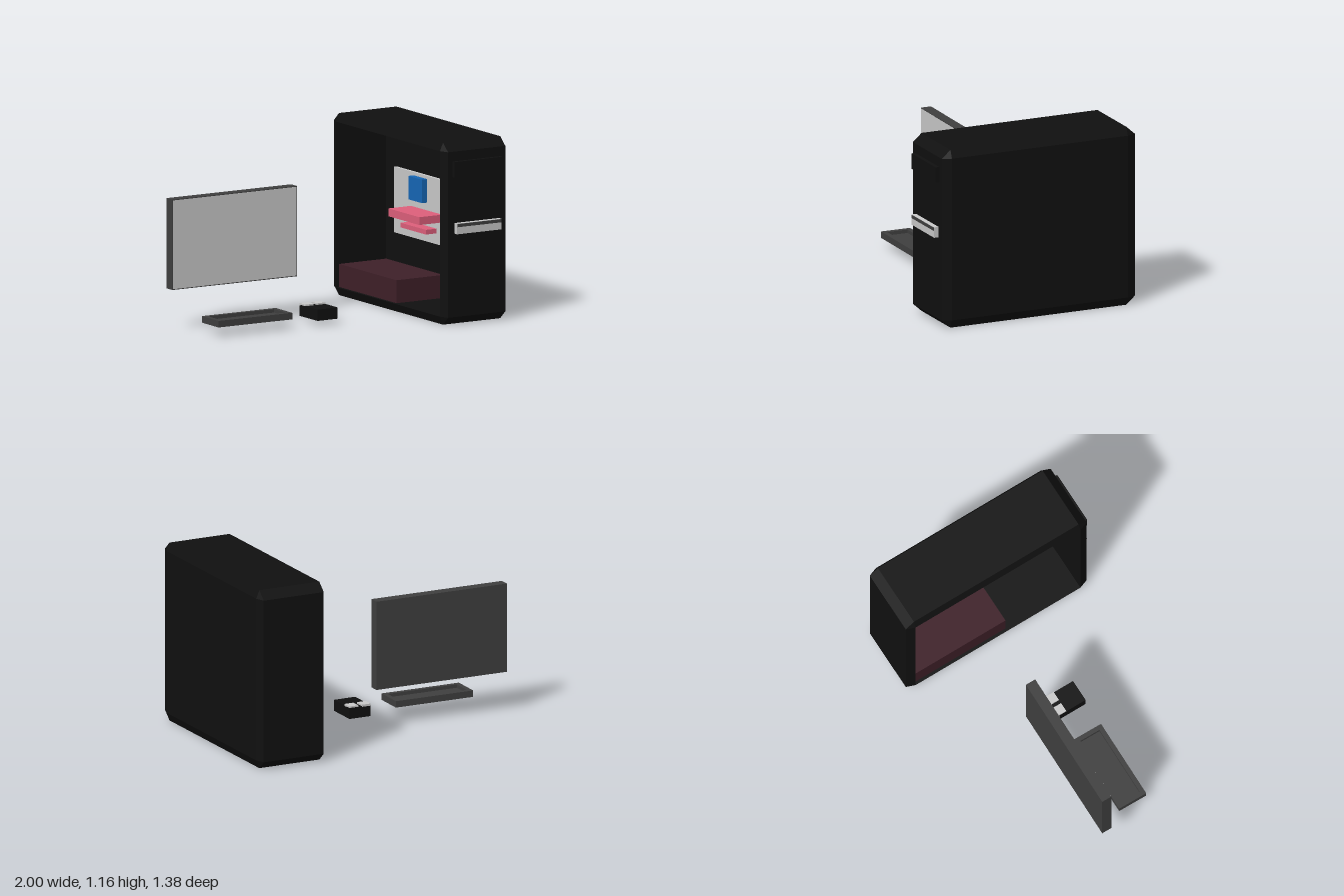
import * as THREE from 'three';

const mat = (color) => new THREE.MeshStandardMaterial({ color, flatShading: true });
const black = mat(0x101010), charcoal = mat(0x404040), grey = mat(0xcccccc);
const pink = mat(0xe0607c), maroon = mat(0x3f2029), blue = mat(0x1668b8);

// Box given by its min and max on each axis
function box(name, material, [x0, x1], [y0, y1], [z0, z1]) {
  const mesh = new THREE.Mesh(new THREE.BoxGeometry(x1 - x0, y1 - y0, z1 - z0), material);
  mesh.position.set((x0 + x1) / 2, (y0 + y1) / 2, (z0 + z1) / 2);
  mesh.name = name;
  return mesh;
}

function group(name, ...parts) {
  const g = new THREE.Group();
  g.name = name;
  if (parts.length) g.add(...parts);
  return g;
}

// Turn parts slightly about their own upright centre line
function turned(g, cx, cz, angle) {
  for (const m of g.children) { m.position.x -= cx; m.position.z -= cz; }
  g.position.set(cx, 0, cz);
  g.rotation.y = angle;
  return g;
}

// Chamfered tower casing, open on its -x side with a deep cavity
function casingGeometry() {
  const [y0, y1, z0, z1] = [0, 1.165, -0.69, 0.655], cy = 0.053, cz = 0.06;
  const [a, b, c, d] = [y0 + cy, y1 - cy, z0 + cz, z1 - cz];
  // Points as [y, z]; the small ring repeats each corner to match the octagon
  const octagon = [[y1, c], [y1, d], [b, z1], [a, z1], [y0, d], [y0, c], [a, z0], [b, z0]];
  const rect = [[b, c], [b, d], [b, d], [a, d], [a, d], [a, c], [a, c], [b, c]];
  const rings = [[0.9, rect], [0.53, rect], [0.552, octagon], [0.978, octagon], [1, rect]]
    .map(([x, pts]) => pts.map(([y, z]) => new THREE.Vector3(x, y, z)));
  const out = [];
  const tri = (p, q, r) => {
    if (!p.equals(q) && !q.equals(r) && !r.equals(p)) out.push(p, q, r);
  };
  for (let k = 0; k < rings.length - 1; k++) {
    for (let i = 0; i < 8; i++) {
      const j = (i + 1) % 8, [p, q] = [rings[k], rings[k + 1]];
      tri(p[i], p[j], q[j]);
      tri(p[i], q[j], q[i]);
    }
  }
  const inner = rings[0], outer = rings[4];
  for (let i = 1; i < 7; i++) {
    tri(outer[0], outer[i], outer[i + 1]);
    tri(inner[0], inner[i + 1], inner[i]);
  }
  const geo = new THREE.BufferGeometry().setFromPoints(out);
  geo.computeVertexNormals();
  return geo;
}

function createTower() {
  const casing = new THREE.Mesh(casingGeometry(), black);
  casing.name = 'casing';
  return group('tower', casing,
    // Front panel
    box('upperDriveBay', black, [0.585, 0.94], [0.95, 1.05], [0.64, 0.68]),
    box('lowerDrive', grey, [0.6, 0.93], [0.587, 0.655], [0.64, 0.686]),
    box('driveSlot', charcoal, [0.602, 0.928], [0.633, 0.653], [0.68, 0.69]),
    // Inside
    box('mainBoard', grey, [0.88, 0.9], [0.39, 0.81], [-0.5, 0.07]),
    box('coolerBlock', blue, [0.84, 0.88], [0.64, 0.79], [-0.27, -0.11]),
    box('graphicsCard', pink, [0.71, 0.88], [0.54, 0.59], [-0.3, 0.066]),
    box('expansionCard', pink, [0.8, 0.88], [0.46, 0.49], [-0.3, 0.0]),
    box('powerSupply', maroon, [0.55, 0.9], [0.053, 0.2], [-0.625, 0.05]));
}

function createMonitor() {
  const g = group('monitor',
    box('monitorBody', charcoal, [-1, -0.08], [0.26, 0.838], [-0.2, -0.131]),
    box('screen', grey, [-0.995, -0.085], [0.265, 0.833], [-0.14, -0.13]));
  return turned(g, -0.54, -0.166, -0.012);
}

// Shallow tray with a raised rim
function createKeyboard() {
  const [x0, x1, z0, z1, rim] = [-0.87, -0.325, 0.006, 0.206, 0.03];
  const g = group('keyboard',
    box('keyboardBase', charcoal, [x0, x1], [0.06, 0.08], [z0, z1]));
  for (const z of [z0, z1 - rim])
    g.add(box('longRim', charcoal, [x0, x1], [0.08, 0.102], [z, z + rim]));
  for (const x of [x0, x1 - rim])
    g.add(box('shortRim', charcoal, [x, x + rim], [0.08, 0.102], [z0 + rim, z1 - rim]));
  return turned(g, -0.598, 0.106, -0.012);
}

function createMouse() {
  const g = group('mouse',
    box('mouseBody', black, [-0.14, 0.01], [0.032, 0.104], [0, 0.212]));
  for (const x of [-0.14, -0.052])
    g.add(box('mouseButton', grey, [x, x + 0.062], [0.1, 0.114], [0, 0.068]));
  return g;
}

export function createModel() {
  return group('desktopComputer',
    createTower(), createMonitor(), createKeyboard(), createMouse());
}
